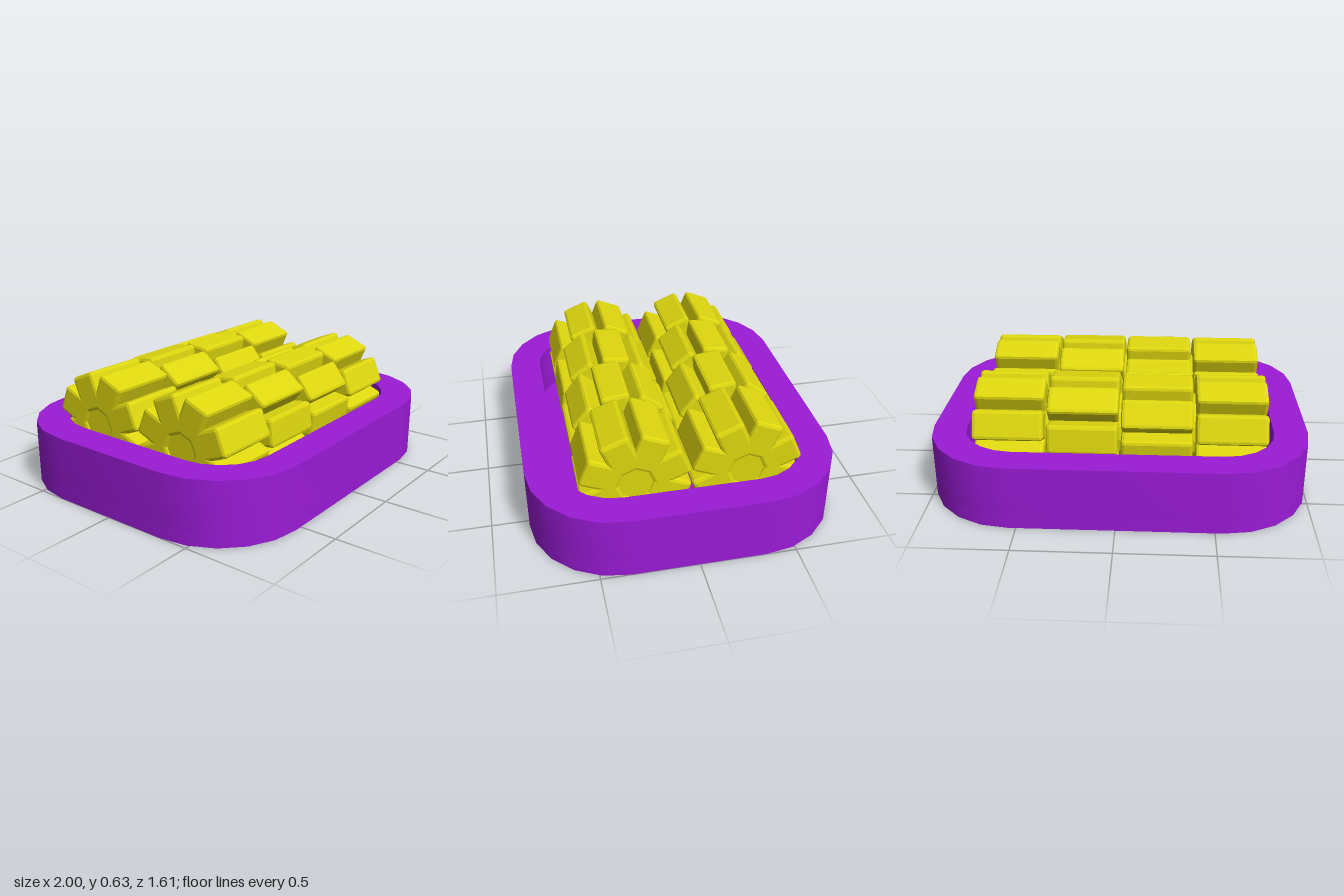
import * as THREE from 'three';
import { RoundedBoxGeometry } from 'three/addons/geometries/RoundedBoxGeometry.js';
import { toCreasedNormals } from 'three/addons/utils/BufferGeometryUtils.js';

// Points of a rounded rectangle, five steps per corner
function roundedRect(halfX, halfZ, radius) {
  const points = [];
  for (let corner = 0; corner < 4; corner++) {
    const sx = corner === 0 || corner === 3 ? 1 : -1;
    const sz = corner < 2 ? 1 : -1;
    for (let i = 0; i <= 5; i++) {
      const a = (corner + i / 5) * Math.PI / 2;
      points.push(new THREE.Vector2(
        sx * (halfX - radius) + radius * Math.cos(a),
        sz * (halfZ - radius) + radius * Math.sin(a)));
    }
  }
  return points;
}

// Upright slab between two heights
function slab(shape, y0, y1) {
  const geometry = new THREE.ExtrudeGeometry(shape, { depth: y1 - y0, bevelEnabled: false });
  geometry.rotateX(-Math.PI / 2).translate(0, y0, 0);
  return toCreasedNormals(geometry, 0.5);
}

export function createModel() {
  const model = new THREE.Group();
  const purple = new THREE.MeshStandardMaterial({ color: 0x9a1bd6 });
  const yellow = new THREE.MeshStandardMaterial({ color: 0xddd60f, flatShading: true });
  const add = (parent, name, geometry, material) => {
    const mesh = new THREE.Mesh(geometry, material);
    mesh.name = name;
    parent.add(mesh);
    return mesh;
  };

  // Tray: rim wall around a recess, closed by a thin floor
  const floorY = 0.07;
  const wall = new THREE.Shape(roundedRect(1, 0.805, 0.46));
  wall.holes.push(new THREE.Path(roundedRect(0.82, 0.63, 0.28)));
  add(model, 'trayWall', slab(wall, floorY, 0.34), purple);
  add(model, 'trayFloor', slab(new THREE.Shape(roundedRect(1, 0.805, 0.46)), 0, floorY), purple);

  // Cobs: four rings of eight blocky kernels, each ring turned 15 degrees from the last
  const kernel = new RoundedBoxGeometry(0.367, 0.2, 0.155, 1, 0.018);
  kernel.translate(0, 0.18, 0);
  const core = new THREE.CylinderGeometry(0.18, 0.18, 1.49, 16).rotateZ(Math.PI / 2);
  for (const z of [0.27, -0.3]) {
    const cob = new THREE.Group();
    cob.name = z > 0 ? 'frontCob' : 'backCob';
    cob.position.set(-0.01, 0.345, z);
    add(cob, 'core', core, yellow);
    for (let ring = 0; ring < 4; ring++) {
      for (let k = 0; k < 8; k++) {
        const mesh = add(cob, 'kernel', kernel, yellow);
        mesh.position.x = (ring - 1.5) * 0.382;
        mesh.rotation.x = THREE.MathUtils.degToRad(22.5 + 15 * ring + 45 * k);
      }
    }
    model.add(cob);
  }
  return model;
}
